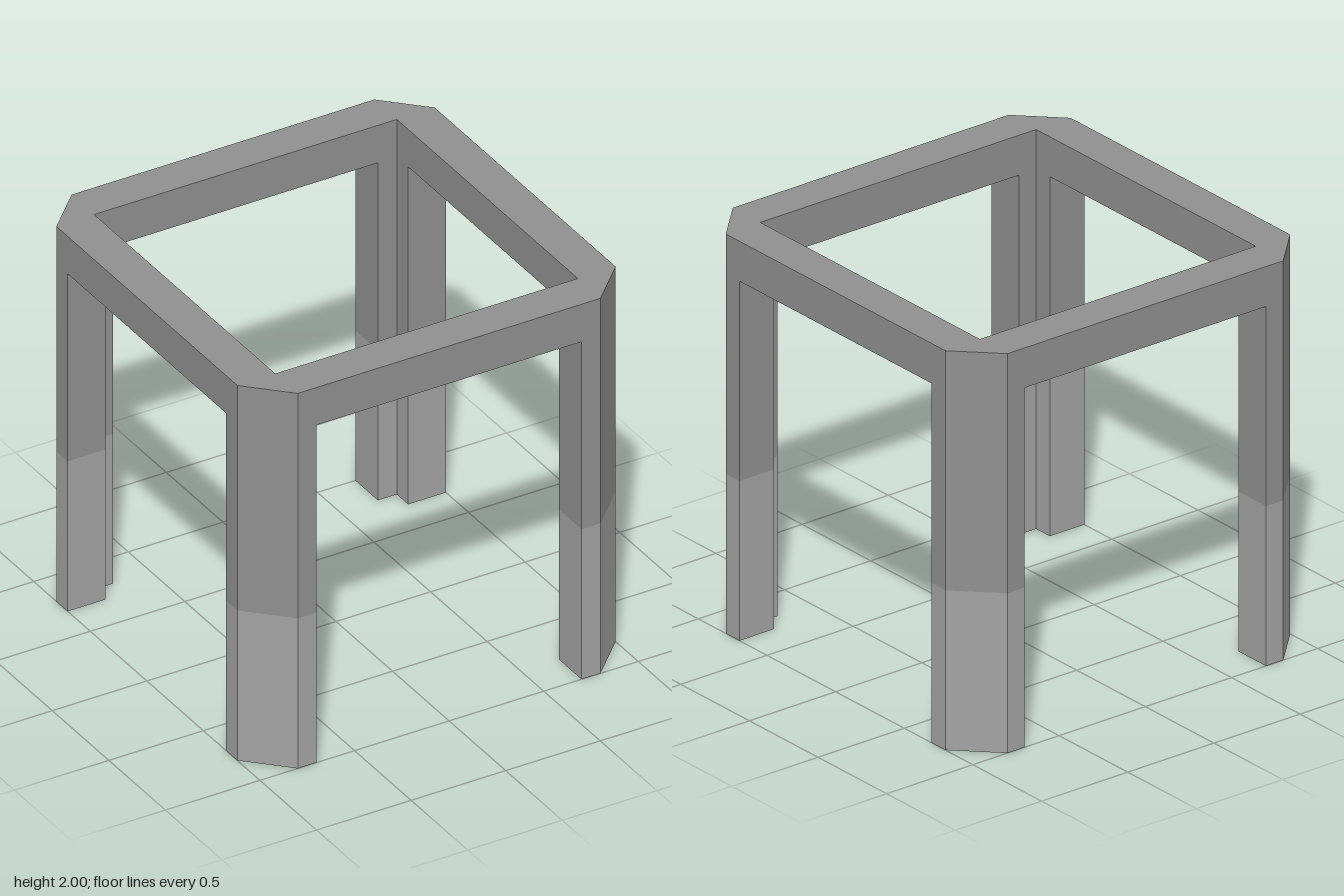
import * as THREE from 'three';

const SIZE = 1;        // half width of the table
const INNER = 0.8;     // inner face of the rails, also where the corner cuts begin
const LEG_END = 0.7;   // how far each leg reaches along the rails
const HEIGHT = 2;
const RAIL = 0.2;      // rail height
const FOOT = 0.8;      // height of the lighter lower leg

const darkGrey = new THREE.MeshStandardMaterial({ color: 0x909090 });
const lightGrey = new THREE.MeshStandardMaterial({ color: 0xa3a3a3 });

const points = (list) => list.map(([x, y]) => new THREE.Vector2(x, y));

// Extrude a plan outline straight up between two heights
function extrudeUp(name, shape, bottom, top, material) {
  const geometry = new THREE.ExtrudeGeometry(shape, { depth: top - bottom, bevelEnabled: false });
  geometry.rotateX(-Math.PI / 2);
  const mesh = new THREE.Mesh(geometry, material);
  mesh.name = name;
  mesh.position.y = bottom;
  return mesh;
}

// Square top frame with cut corners and an open middle
function createFrame() {
  const shape = new THREE.Shape(points([
    [INNER, -SIZE], [SIZE, -INNER], [SIZE, INNER], [INNER, SIZE],
    [-INNER, SIZE], [-SIZE, INNER], [-SIZE, -INNER], [-INNER, -SIZE],
  ]));
  shape.holes.push(new THREE.Path(points([
    [-INNER, -INNER], [-INNER, INNER], [INNER, INNER], [INNER, -INNER],
  ])));
  return extrudeUp('topFrame', shape, HEIGHT - RAIL, HEIGHT, darkGrey);
}

// L-shaped corner leg with a cut outer corner, in a dark upper and a light lower part
function createLeg(name) {
  const shape = new THREE.Shape(points([
    [LEG_END, INNER], [INNER, INNER], [INNER, LEG_END], [SIZE, LEG_END],
    [SIZE, INNER], [INNER, SIZE], [LEG_END, SIZE],
  ]));
  const leg = new THREE.Group();
  leg.name = name;
  leg.add(
    extrudeUp('upperLeg', shape, FOOT, HEIGHT - RAIL, darkGrey),
    extrudeUp('lowerLeg', shape, 0, FOOT, lightGrey),
  );
  return leg;
}

export function createModel() {
  const model = new THREE.Group();
  model.name = 'tableFrame';
  model.add(createFrame());

  // One leg per corner, a quarter turn apart
  ['backLeftLeg', 'backRightLeg', 'frontRightLeg', 'frontLeftLeg'].forEach((name, i) => {
    const leg = createLeg(name);
    leg.rotation.y = (i * Math.PI) / 2;
    model.add(leg);
  });

  return model;
}
